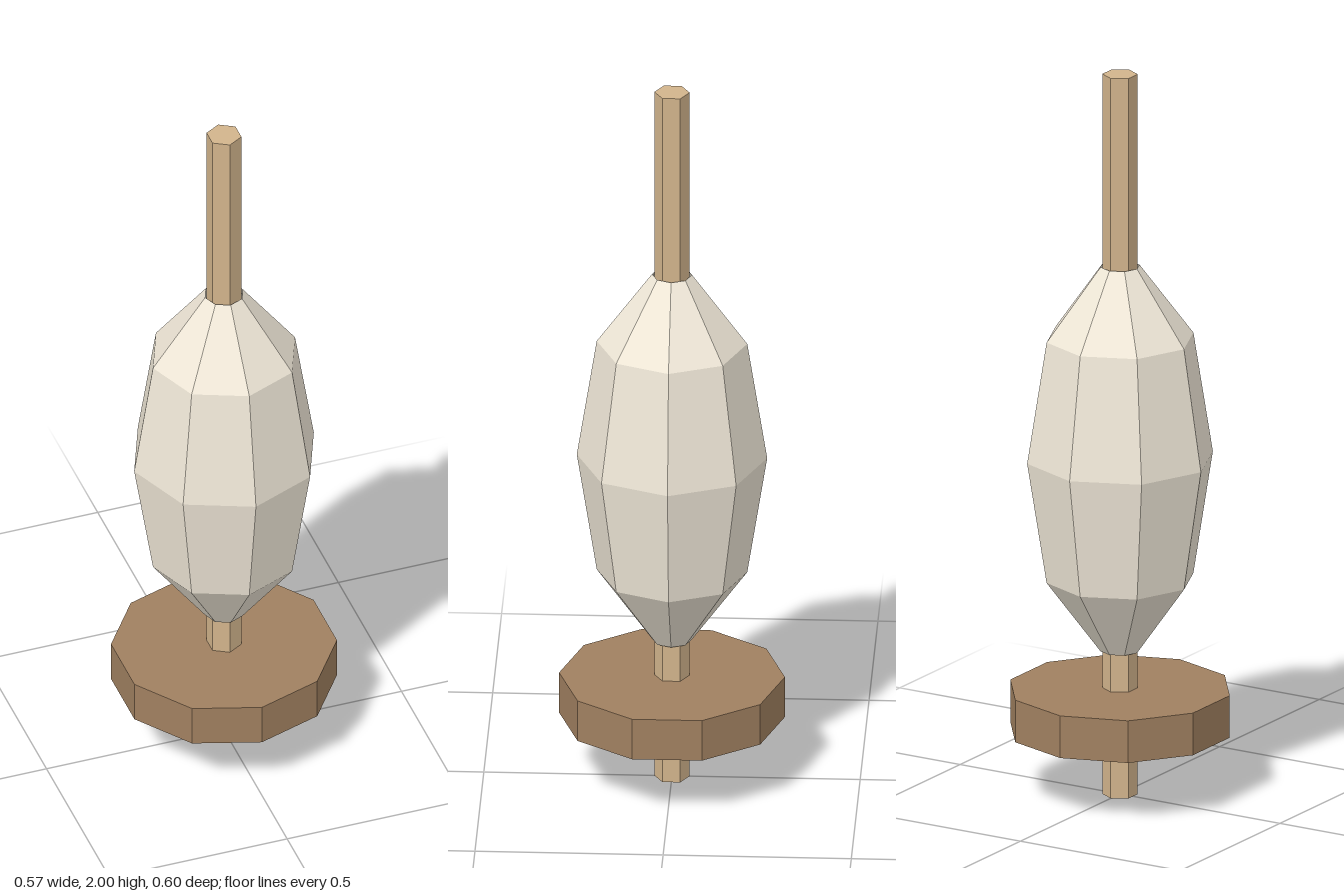
import * as THREE from 'three';

const material = (color, side = THREE.FrontSide) =>
  new THREE.MeshStandardMaterial({ color, side, flatShading: true });

function addPart(group, name, geometry, mat, y = 0) {
  const mesh = new THREE.Mesh(geometry, mat);
  mesh.name = name;
  mesh.position.y = y;
  group.add(mesh);
}

export function createModel() {
  const group = new THREE.Group();
  group.name = 'dropSpindle';

  // Hexagonal rod through the whole height
  addPart(group, 'shaft', new THREE.CylinderGeometry(0.047, 0.047, 2, 6), material(0xd2b48c), 1);

  // Ten-sided weight disc
  addPart(group, 'whorl', new THREE.CylinderGeometry(0.3, 0.3, 0.117, 10), material(0xa08060), 0.237);

  // Wound thread: eight-sided bulge, open around the shaft at both ends
  const profile = [
    [0.053, 0.4], [0.2, 0.6], [0.253, 0.935], [0.2, 1.268], [0.053, 1.467],
  ].map(([r, y]) => new THREE.Vector2(r, y));
  addPart(group, 'yarn', new THREE.LatheGeometry(profile, 8), material(0xf0e8d8, THREE.DoubleSide));

  return group;
}
